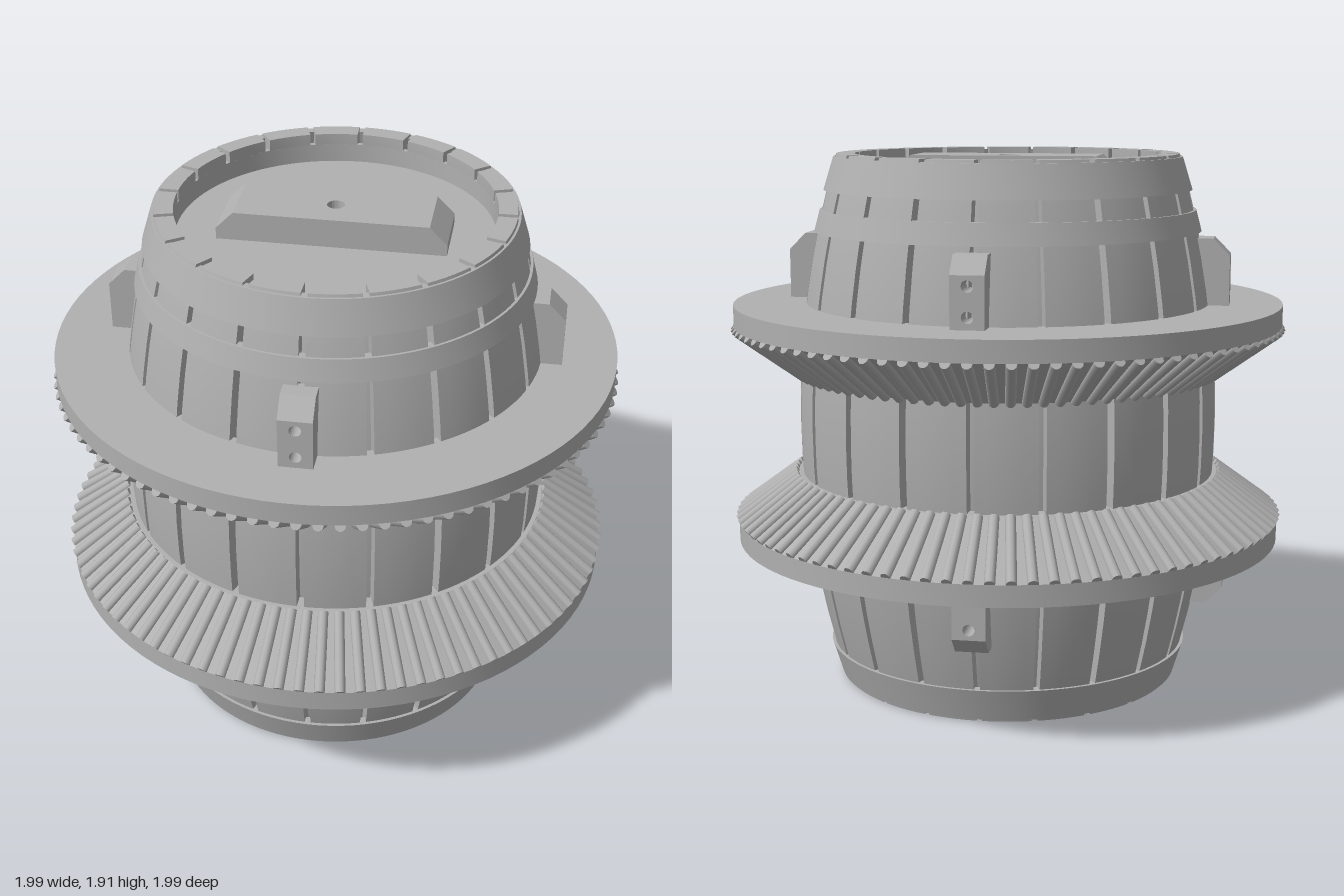
import * as THREE from 'three';
import { mergeGeometries, toCreasedNormals } from 'three/addons/utils/BufferGeometryUtils.js';

const HEIGHT = 1.906, MID = HEIGHT / 2;
const STAVES = 20, RIBS = 90;
const grey = new THREE.MeshStandardMaterial({ color: 0xb0b0b0, side: THREE.DoubleSide });
grey.name = 'grey';

const v2 = (pts) => pts.map(([x, y]) => new THREE.Vector2(x, y));
// Bulging outer radius of the barrel at a height
const bulge = (y) => 0.755 - 0.145 * ((y - MID) / MID) ** 2;
// Points along the bulge, offset inward by inset
function bulgeCurve(y0, y1, inset, n = 16) {
  return Array.from({ length: n + 1 }, (_, i) => {
    const y = y0 + (y1 - y0) * i / n;
    return [bulge(y) - inset, y];
  });
}

function part(name, geometry, parent) {
  const mesh = new THREE.Mesh(geometry, grey);
  mesh.name = name;
  parent.add(mesh);
  return mesh;
}

function revolve(pts, segments = 96) {
  return toCreasedNormals(new THREE.LatheGeometry(v2(pts), segments), 0.5);
}

// Closed ring from a profile
const ring = (pts) => revolve([...pts, pts[0]]);

function prism(pts, depth, holes = []) {
  const shape = new THREE.Shape(v2(pts));
  for (const [x, y, r] of holes) {
    shape.holes.push(new THREE.Path().absarc(x, y, r, 0, Math.PI * 2, true));
  }
  return new THREE.ExtrudeGeometry(shape, { depth, bevelEnabled: false, curveSegments: 10 });
}

// One stave: a wedge of the barrel shell with closed sides
function staveGeometry() {
  const step = Math.PI * 2 / STAVES, gap = 0.034;
  const start = gap / 2, length = step - gap;
  const profile = [
    ...bulgeCurve(0, HEIGHT, 0),
    [0.545, HEIGHT], [0.545, 1.866], [0.62, MID], [0.545, 0.04], [0.545, 0],
  ];
  const pieces = [new THREE.LatheGeometry(v2([...profile, profile[0]]), 5, start, length)];
  for (const phi of [start, start + length]) {
    const side = new THREE.ShapeGeometry(new THREE.Shape(v2(profile)));
    if (phi !== start) {
      // Reverse the far side so that it faces outward
      side.index.array.reverse();
    }
    side.rotateY(phi - Math.PI / 2);
    pieces.push(side);
  }
  return toCreasedNormals(mergeGeometries(pieces), 0.5);
}

// Sloping round ribs laid around the cone of a flange
function ribGeometry() {
  const [r0, y0, r1, y1] = [0.765, 1.142, 0.986, 1.303];
  const ribs = [];
  for (let i = 0; i < RIBS; i++) {
    const rib = new THREE.CylinderGeometry(0.018, 0.018, Math.hypot(r1 - r0, y1 - y0), 10);
    rib.rotateZ(-Math.atan2(r1 - r0, y1 - y0));
    rib.translate((r0 + r1) / 2, (y0 + y1) / 2, 0);
    rib.rotateY(i / RIBS * Math.PI * 2);
    ribs.push(rib);
  }
  return mergeGeometries(ribs);
}

// Mounting block with two bolt holes and a chamfered top, facing +z
function blockGeometry() {
  const w = 0.057, y0 = 1.37, y1 = 1.555, inner = 0.67, outer = 0.797;
  const body = prism([[-w, y0], [w, y0], [w, y1], [-w, y1]], outer - inner,
    [[0, 1.52, 0.02], [0, 1.42, 0.02]]);
  body.translate(0, 0, inner);
  const cap = prism([[inner, y1], [outer, y1], [0.738, 1.615], [inner, 1.615]], w * 2);
  cap.rotateY(-Math.PI / 2).translate(w, 0, 0);
  return mergeGeometries([body, cap]);
}

// Board across the head, with sloped ends and a centre hole
function boardGeometry() {
  const w = 0.115, x0 = 0.33, x1 = 0.39, base = 1.8, top = 1.9;
  const middle = prism([[-x0, -w], [x0, -w], [x0, w], [-x0, w]], top - base, [[0, 0, 0.03]]);
  middle.rotateX(-Math.PI / 2).translate(0, base, 0);
  const pieces = [middle];
  for (const turn of [0, Math.PI]) {
    const end = prism([[x0, base], [x1, base], [x1, 1.84], [x0, top]], w * 2);
    pieces.push(end.translate(0, 0, -w).rotateY(turn));
  }
  return mergeGeometries(pieces);
}

// Fittings of one end; the other end is the same turned over
function createEnd(name) {
  const end = new THREE.Group();
  end.name = name;
  part('flange', ring([[0.7, 1.14], [0.765, 1.14], [0.985, 1.305], [0.985, 1.38], [0.7, 1.38]]), end);
  part('flangeRibs', ribGeometry(), end);
  part('endHoop', ring([[0.62, 1.78], [0.657, 1.78], [0.621, 1.896], [0.59, 1.896]]), end);
  part('headBoard', boardGeometry(), end);
  const block = blockGeometry();
  for (let i = 0; i < 4; i++) part('mountingBlock', block, end).rotation.y = i * Math.PI / 2;
  return end;
}

export function createModel() {
  const model = new THREE.Group();
  model.name = 'ribbedBarrel';

  // Inner core with recessed heads, seen as the floor of the gaps
  part('core', revolve([
    [0, 0.106], [0.545, 0.106], [0.545, 0.04],
    ...bulgeCurve(0.04, 1.866, 0.06),
    [0.545, 1.866], [0.545, 1.8], [0, 1.8],
  ]), model);

  // Staves
  const stave = staveGeometry();
  for (let i = 0; i < STAVES; i++) {
    part('stave', stave, model).rotation.y = i / STAVES * Math.PI * 2;
  }

  // Extra hoop near the top only
  part('upperHoop', ring([[0.65, 1.635], [0.692, 1.635], [0.672, 1.71], [0.64, 1.71]]), model);

  // Two mirrored ends
  model.add(createEnd('upperEnd'));
  const lower = createEnd('lowerEnd');
  lower.rotation.x = Math.PI;
  lower.position.y = HEIGHT;
  model.add(lower);
  return model;
}
